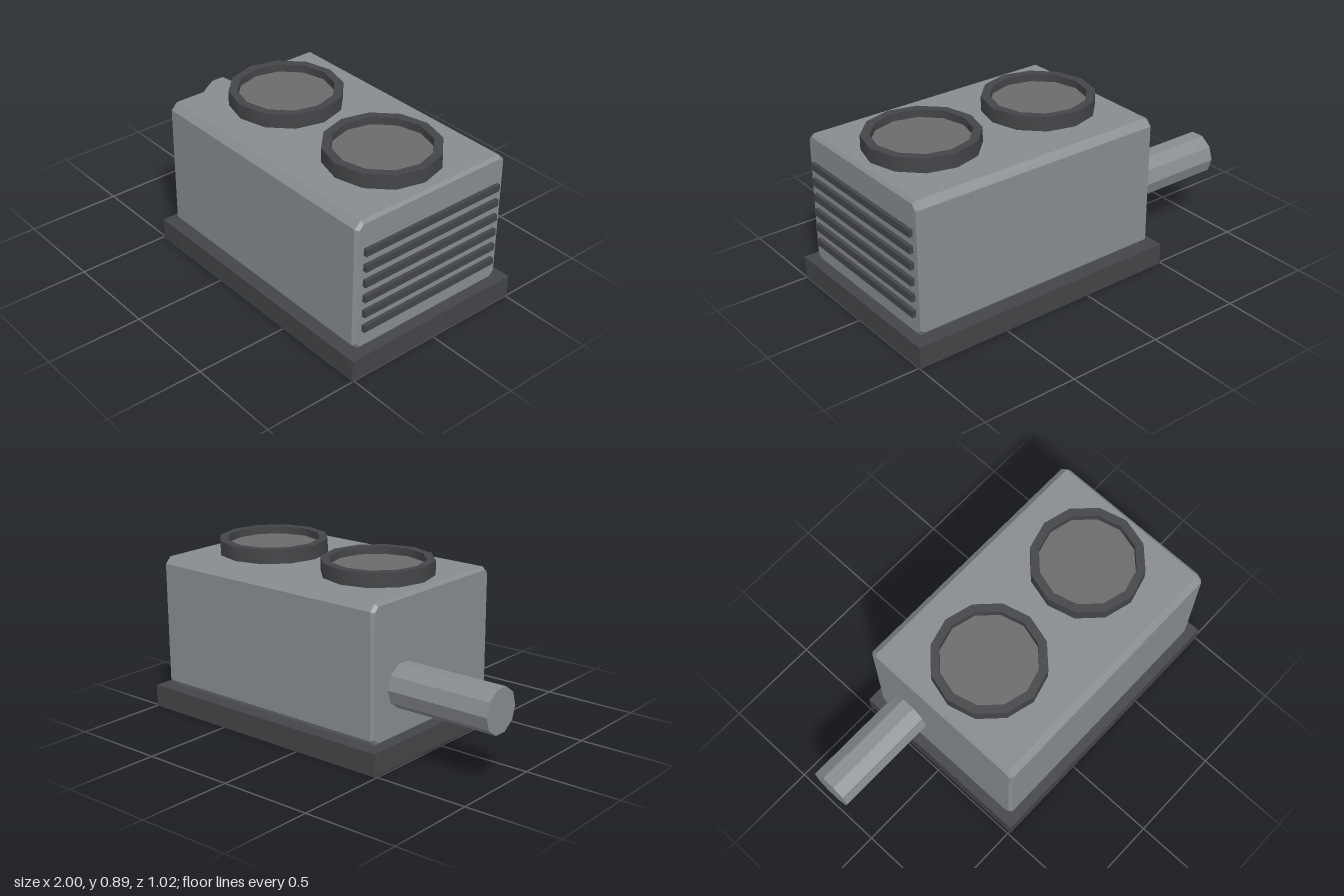
import * as THREE from 'three';
import { toCreasedNormals } from 'three/addons/utils/BufferGeometryUtils.js';

export function createModel() {
  const model = new THREE.Group();
  model.name = 'ventilationUnit';
  const shell = new THREE.MeshStandardMaterial({ color: 0x888c91 });
  const pipeMat = new THREE.MeshStandardMaterial({ color: 0x888c91, flatShading: true });
  const dark = new THREE.MeshStandardMaterial({ color: 0x444548 });
  const discMat = new THREE.MeshStandardMaterial({ color: 0x6b6b6b });

  const add = (name, geometry, material, x, y, z) => {
    const mesh = new THREE.Mesh(geometry, material);
    mesh.name = name;
    mesh.position.set(x, y, z);
    model.add(mesh);
    return mesh;
  };

  // Base plinth
  add('base', new THREE.BoxGeometry(1.49, 0.116, 1.02), dark, 0.255, 0.058, 0);

  // Housing: chamfered cross-section swept along x, with bevelled ends
  const bevel = 0.015, cut = 0.025, w = 0.463 - bevel, h = 0.35 - bevel;
  const section = new THREE.Shape([
    [-w + cut, -h], [w - cut, -h], [w, -h + cut], [w, h - cut],
    [w - cut, h], [-w + cut, h], [-w, h - cut], [-w, -h + cut],
  ].map(([a, b]) => new THREE.Vector2(a, b)));
  const length = 1.39;
  const housing = new THREE.ExtrudeGeometry(section, {
    depth: length - 2 * bevel, bevelEnabled: true,
    bevelSize: bevel, bevelThickness: bevel, bevelSegments: 1,
  });
  housing.translate(0, 0, -length / 2 + bevel);
  housing.rotateY(Math.PI / 2);
  add('housing', housing, shell, 0.255, 0.465, 0);

  // Two fan openings: twelve-sided collar around a recessed disc
  const outer = 0.287, inner = 0.243, low = 0.8, high = 0.89;
  const collar = toCreasedNormals(new THREE.LatheGeometry([
    [inner, low], [outer, low], [outer, high], [inner, high], [inner, low],
  ].map(([r, y]) => new THREE.Vector2(r, y)), 12), 0.6);
  const disc = new THREE.CylinderGeometry(inner, inner, 0.05, 12);
  for (const x of [-0.095, 0.605]) {
    add('fanCollar', collar, dark, x, 0, 0);
    add('fanDisc', disc, discMat, x, 0.825, 0);
  }

  // Louvre slats on the left end
  const slat = new THREE.BoxGeometry(0.04, 0.036, 0.836);
  for (let i = 0; i < 6; i++) add('slat', slat, dark, 0.95, 0.235 + i * 0.0838, 0);

  // Ten-sided pipe out of the right end
  const pipe = new THREE.CylinderGeometry(0.115, 0.115, 0.58, 10);
  pipe.rotateZ(Math.PI / 2);
  add('pipe', pipe, pipeMat, -0.71, 0.375, -0.235);

  return model;
}
